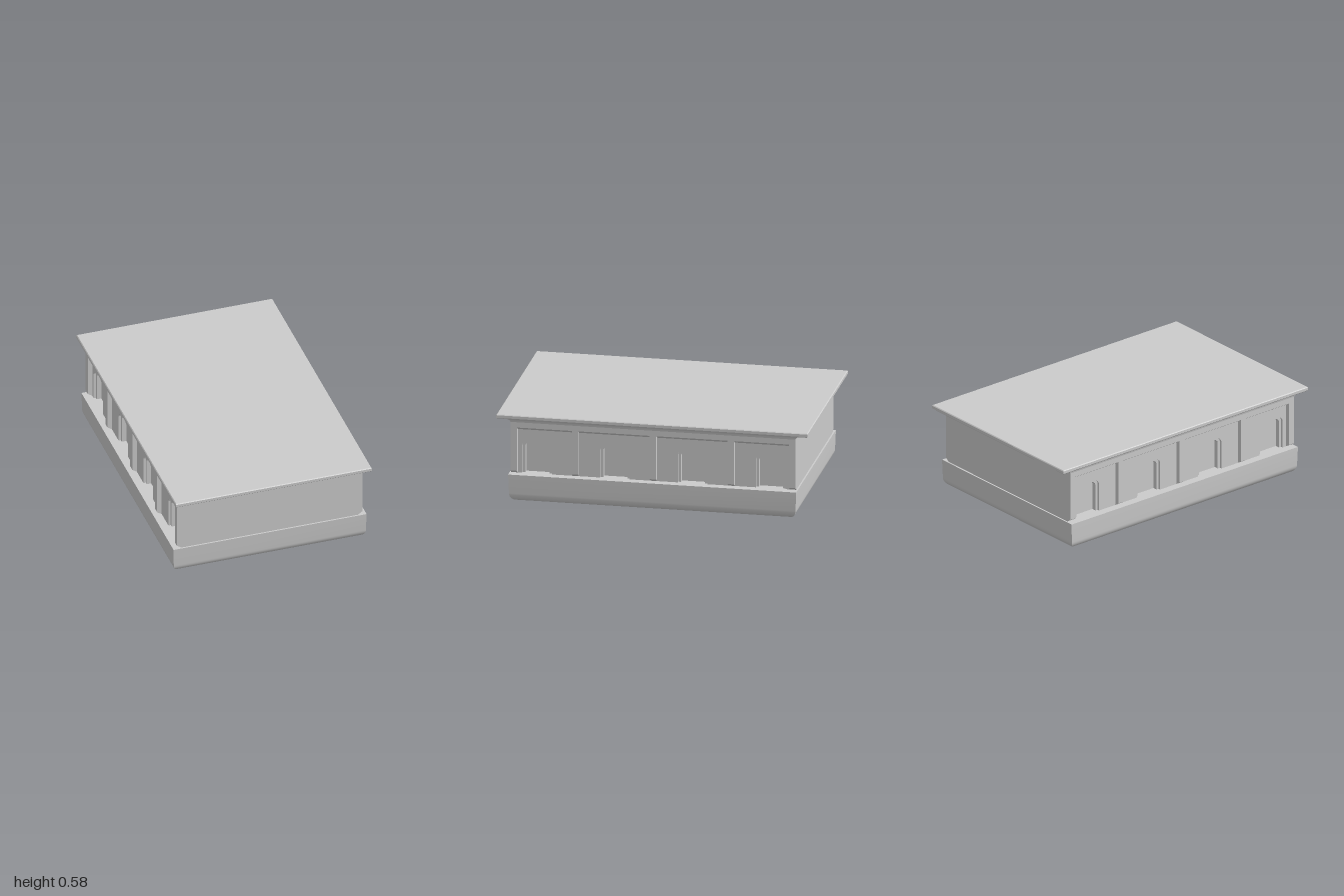
import * as THREE from 'three';
import { toCreasedNormals } from 'three/addons/utils/BufferGeometryUtils.js';

const grey = new THREE.MeshStandardMaterial({ color: 0xcccccc });

function add(parent, name, geometry) {
  const mesh = new THREE.Mesh(geometry, grey);
  mesh.name = name;
  parent.add(mesh);
  return mesh;
}

// Closed solid of stacked rectangles: each ring is [halfWidth, y, halfDepth], bottom to top
function rectLoft(rings) {
  const pos = [], idx = [];
  for (const [w, y, d] of rings) pos.push(-w, y, d, w, y, d, w, y, -d, -w, y, -d);
  for (let r = 0; r < rings.length - 1; r++) {
    for (let k = 0; k < 4; k++) {
      const a = r * 4 + k, b = r * 4 + (k + 1) % 4;
      idx.push(a, b, b + 4, a, b + 4, a + 4);
    }
  }
  const t = (rings.length - 1) * 4;
  idx.push(0, 2, 1, 0, 3, 2, t, t + 1, t + 2, t, t + 2, t + 3);
  const g = new THREE.BufferGeometry();
  g.setAttribute('position', new THREE.Float32BufferAttribute(pos, 3));
  g.setIndex(idx);
  return toCreasedNormals(g, 0.6);
}

// Profile in x/y run along z
function moulding(points, length) {
  const shape = new THREE.Shape(points.map(p => new THREE.Vector2(...p)));
  return new THREE.ExtrudeGeometry(shape, { depth: length, bevelEnabled: false })
    .translate(0, 0, -length / 2);
}

// Side wall layer pierced by four pointed arches, from x0 outwards
function archedLayer(x0, thickness, halfWidth, spring, apex) {
  const shape = new THREE.Shape([[-0.915, 0.15], [0.915, 0.15], [0.915, 0.53], [-0.915, 0.53]]
    .map(p => new THREE.Vector2(...p)));
  const rise = apex - spring;
  const half = [[1, 0], [0.95, 0.25], [0.8, 0.5], [0.45, 0.8]];
  for (const c of [-0.75, -0.25, 0.25, 0.75]) {
    const right = half.map(([u, v]) => new THREE.Vector2(c + u * halfWidth, spring + v * rise));
    const left = half.map(([u, v]) => new THREE.Vector2(c - u * halfWidth, spring + v * rise)).reverse();
    shape.holes.push(new THREE.Path([
      new THREE.Vector2(c - halfWidth, 0.165), new THREE.Vector2(c + halfWidth, 0.165),
      ...right, new THREE.Vector2(c, apex), ...left,
    ]));
  }
  return new THREE.ExtrudeGeometry(shape, { depth: thickness, bevelEnabled: false })
    .rotateY(Math.PI / 2).translate(x0, 0, 0);
}

export function createModel() {
  const model = new THREE.Group();
  model.name = 'plinth';

  // Base with a rounded lower edge
  const base = [];
  for (let i = 0; i <= 8; i++) {
    const a = i / 8 * Math.PI / 2;
    const inset = 0.055 * (1 - Math.sin(a));
    base.push([0.637 - inset, 0.055 * (1 - Math.cos(a)), 0.92 - inset]);
  }
  base.push([0.64, 0.18, 0.925]);
  add(model, 'base', rectLoft(base));

  // Core block, its long faces forming the backs of the niches
  add(model, 'core', new THREE.BoxGeometry(1.08, 0.43, 1.83).translate(0, 0.315, 0));

  // Arcaded long sides
  for (const turn of [0, Math.PI]) {
    const side = new THREE.Group();
    side.name = turn ? 'rightSide' : 'leftSide';
    side.rotation.y = turn;
    add(side, 'innerArches', archedLayer(0.54, 0.03, 0.077, 0.36, 0.4));
    add(side, 'outerArches', archedLayer(0.57, 0.015, 0.095, 0.365, 0.42));
    add(side, 'header', moulding([[0.585, 0.468], [0.615, 0.487], [0.615, 0.53], [0.585, 0.53]], 1.83));
    for (const z of [-0.894, -0.5, 0, 0.5, 0.894]) {
      const pilaster = moulding([[0.585, 0.18], [0.615, 0.2], [0.615, 0.487], [0.585, 0.468]], 0.042);
      add(side, 'pilaster', pilaster).position.z = z;
    }
    model.add(side);
  }

  // Hollow-curved cornice below the top slab
  const cove = [];
  for (let i = 0; i <= 6; i++) {
    const a = i / 6 * Math.PI / 2;
    const out = 1 - Math.cos(a);
    cove.push([0.615 + 0.031 * out, 0.522 + 0.03 * Math.sin(a), 0.915 + 0.078 * out]);
  }
  add(model, 'cornice', rectLoft(cove));
  add(model, 'topSlab', rectLoft([
    [0.646, 0.55, 0.995], [0.65, 0.555, 1], [0.65, 0.572, 1], [0.645, 0.577, 0.995],
  ]));
  return model;
}
